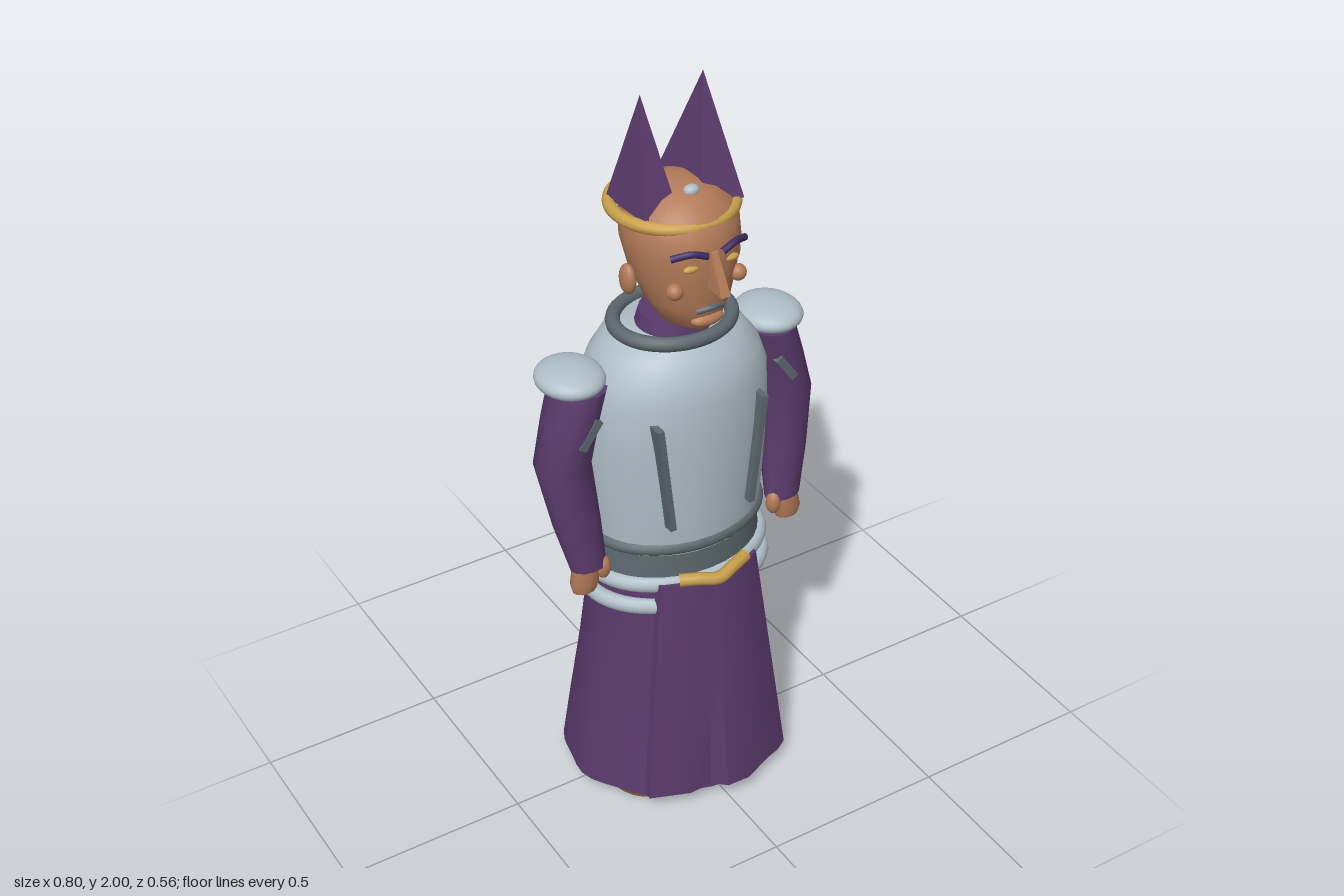
import * as THREE from 'three';
import { toCreasedNormals } from 'three/addons/utils/BufferGeometryUtils.js';
import { ConvexGeometry } from 'three/addons/geometries/ConvexGeometry.js';

const paint = (name, color) => Object.assign(new THREE.MeshStandardMaterial({ color }), { name });
const V = (x, y, z) => new THREE.Vector3(x, y, z);

// One ring at height y; angle 0 faces front, optional ripple scales the radius
function ring(y, rx, front, back, { cx = 0, n = 32, ripple = () => 1 } = {}) {
  const cz = (front + back) / 2, rz = (front - back) / 2;
  return Array.from({ length: n }, (_, i) => {
    const a = (i / n) * Math.PI * 2, k = ripple(a);
    return V(cx + rx * k * Math.sin(a), y, cz + rz * k * Math.cos(a));
  });
}

// Capped skin through rings listed from bottom to top
function loft(rings, crease = 0.8) {
  const n = rings[0].length, pts = rings.flat(), index = [];
  for (let j = 0; j < rings.length - 1; j++) {
    for (let i = 0; i < n; i++) {
      const a = j * n + i, b = j * n + ((i + 1) % n);
      index.push(a, b, b + n, a, b + n, a + n);
    }
  }
  [0, rings.length - 1].forEach((j) => {
    const c = pts.length;
    pts.push(rings[j].reduce((s, p) => s.add(p), V(0, 0, 0)).divideScalar(n));
    for (let i = 0; i < n; i++) {
      const a = j * n + i, b = j * n + ((i + 1) % n);
      index.push(c, ...(j ? [a, b] : [b, a]));
    }
  });
  const g = new THREE.BufferGeometry().setFromPoints(pts);
  g.setIndex(index);
  return toCreasedNormals(g, crease);
}

export function createModel() {
  const group = new THREE.Group();
  const purple = paint('purple cloth', 0x5a3a6c);
  const silver = paint('pale armour', 0xafbec6);
  const iron = paint('dark iron', 0x5c686e);
  const skin = paint('skin', 0xb27a58);
  const gold = paint('gold', 0xc8a04c);
  const brown = paint('boot brown', 0x70502f);
  const violet = paint('brow violet', 0x402a60);

  const add = (name, geometry, material, pos = [0, 0, 0], scale = [1, 1, 1]) => {
    const m = new THREE.Mesh(geometry, material);
    m.name = name;
    m.position.set(...pos);
    m.scale.set(...scale);
    group.add(m);
    return m;
  };
  const ball = (name, mat, pos, radii) => add(name, new THREE.SphereGeometry(1, 24, 16), mat, pos, radii);
  const tube = (name, mat, pts, r) =>
    add(name, new THREE.TubeGeometry(new THREE.CatmullRomCurve3(pts.map((p) => V(...p))), 16, r, 8), mat);
  // Elliptical hoop lying flat: outer half-width, front, back, tube radius and height stretch
  const hoop = (name, mat, y, rx, front, back, t, tall = 1) => {
    const g = new THREE.TorusGeometry(rx - t, t, 12, 48).rotateX(Math.PI / 2);
    return add(name, g, mat, [0, y, (front + back) / 2], [1, tall, (front - back) / 2 / rx]);
  };

  // Robe skirt with a rippled hem
  const ripple = (k) => ({ n: 48, ripple: (a) => 1 + k * Math.cos(a * 9) });
  add('skirt', loft([
    ring(0.035, 0.308, 0.25, -0.282, ripple(0.018)),
    ring(0.2, 0.287, 0.225, -0.26, ripple(0.01)),
    ring(0.4, 0.256, 0.195, -0.235, ripple(0.004)),
    ring(0.58, 0.238, 0.175, -0.21, ripple(0)),
    ring(0.7, 0.235, 0.165, -0.2, ripple(0)),
  ]), purple);

  // Folded front panel
  const hem = [[-0.215, 0.215], [-0.16, 0.236], [-0.11, 0.255], [-0.045, 0.25], [-0.01, 0.283],
    [0.055, 0.285], [0.135, 0.25], [0.18, 0.236], [0.215, 0.215]];
  const panelRing = (y, t) => {
    const row = (d) => hem.map(([x, z]) => {
      const zTop = 0.2 - 0.04 * (x / 0.215) ** 2;
      return V(x * (1 - 0.33 * t), y, z + (zTop - z) * t - d);
    });
    return [...row(0), ...row(0.025).reverse()];
  };
  add('frontPanel', loft([0, 0.25, 0.5, 0.75, 1].map((t) => panelRing(0.05 + 0.65 * t, t)), 0.6), purple);

  // Cuirass, waist and belts
  add('breastplate', loft([
    ring(0.78, 0.232, 0.17, -0.2), ring(0.9, 0.243, 0.178, -0.207), ring(1.1, 0.253, 0.184, -0.212),
    ring(1.22, 0.247, 0.182, -0.21), ring(1.28, 0.225, 0.172, -0.2), ring(1.33, 0.188, 0.145, -0.178),
    ring(1.365, 0.145, 0.115, -0.145),
  ]), silver);
  add('waistBand', loft([ring(0.69, 0.238, 0.17, -0.203), ring(0.79, 0.228, 0.168, -0.198)]), iron);
  hoop('waistRing', iron, 0.8, 0.248, 0.18, -0.208, 0.017);
  hoop('upperHipRing', silver, 0.69, 0.26, 0.185, -0.212, 0.022);
  hoop('lowerHipRing', silver, 0.625, 0.268, 0.19, -0.214, 0.022);
  hoop('collar', iron, 1.37, 0.17, 0.132, -0.165, 0.019);
  add('neck', loft([ring(1.34, 0.105, 0.09, -0.11), ring(1.4, 0.088, 0.08, -0.095)]), purple);
  tube('buckle', gold, [[-0.1, 0.715, 0.175], [-0.05, 0.713, 0.195], [0, 0.705, 0.208],
    [0.05, 0.713, 0.195], [0.1, 0.715, 0.175]], 0.017);

  // Head
  add('head', loft([
    ring(1.405, 0.04, 0.125, 0.0), ring(1.425, 0.075, 0.145, -0.03), ring(1.48, 0.106, 0.158, -0.07),
    ring(1.55, 0.13, 0.165, -0.11), ring(1.62, 0.143, 0.17, -0.136), ring(1.67, 0.141, 0.163, -0.14),
    ring(1.71, 0.124, 0.14, -0.122), ring(1.74, 0.087, 0.1, -0.085), ring(1.757, 0.045, 0.06, -0.045),
    ring(1.762, 0.012, 0.02, -0.01),
  ], 1.1), skin);
  add('nose', new ConvexGeometry([
    V(-0.01, 1.645, 0.15), V(0.01, 1.645, 0.15), V(-0.008, 1.635, 0.172), V(0.008, 1.635, 0.172),
    V(-0.016, 1.545, 0.15), V(0.016, 1.545, 0.15), V(-0.013, 1.54, 0.222), V(0.013, 1.54, 0.222),
  ]), skin);
  tube('mouth', iron, [[-0.036, 1.475, 0.148], [0, 1.482, 0.16], [0.036, 1.475, 0.148]], 0.008);
  ball('chin', skin, [0, 1.443, 0.14], [0.045, 0.018, 0.022]);
  ball('crownGem', silver, [0, 1.752, 0.068], [0.02, 0.014, 0.016]);
  hoop('circlet', gold, 1.69, 0.166, 0.15, -0.183, 0.016);

  // Tall pointed crests, slightly uneven
  const crest = (name, base, apex) =>
    add(name, new ConvexGeometry([...base.map(([x, z]) => V(x, 1.7, z)), V(...apex)]), purple);
  crest('leftCrest', [[0.02, -0.13], [0.148, -0.105], [0.138, 0.083], [0.03, 0.068]], [0.085, 2, -0.018]);
  crest('rightCrest', [[-0.135, -0.095], [-0.03, -0.115], [-0.035, 0.07], [-0.127, 0.067]], [-0.085, 1.98, -0.018]);

  // Mirrored parts
  for (const [side, s] of [['left', 1], ['right', -1]]) {
    tube(side + 'Brow', violet, [[s * 0.02, 1.632, 0.172], [s * 0.06, 1.645, 0.166], [s * 0.102, 1.633, 0.142]], 0.009);
    ball(side + 'Eye', gold, [s * 0.055, 1.6, 0.156], [0.021, 0.009, 0.01]);
    ball(side + 'Cheek', skin, [s * 0.088, 1.54, 0.137], [0.021, 0.021, 0.021]);
    ball(side + 'Ear', skin, [s * 0.146, 1.535, 0.02], [0.018, 0.04, 0.028]);
    ball(side + 'Pauldron', silver, [s * 0.287, 1.285, -0.022], [0.086, 0.038, 0.096]);

    const arm = (y, x, rx, front, back) => ring(y, rx, front, back, { cx: s * x, n: 12 });
    add(side + 'Sleeve', loft([
      arm(0.765, 0.293, 0.05, 0.09, 0.02), arm(0.9, 0.31, 0.065, 0.08, -0.025),
      arm(1.06, 0.327, 0.073, 0.068, -0.07), arm(1.18, 0.298, 0.07, 0.075, -0.088),
      arm(1.27, 0.272, 0.07, 0.075, -0.095),
    ], 1), purple);
    add(side + 'Hand', loft([
      arm(0.695, 0.308, 0.032, 0.08, 0.035), arm(0.72, 0.307, 0.04, 0.085, 0.03),
      arm(0.78, 0.3, 0.036, 0.08, 0.03),
    ], 1), skin);
    ball(side + 'Thumb', skin, [s * 0.258, 0.755, 0.068], [0.02, 0.034, 0.02]);

    const clasp = add(side + 'ArmClasp', new THREE.BoxGeometry(0.022, 0.085, 0.03), iron, [s * 0.285, 1.165, 0.06]);
    clasp.rotation.z = s * 0.62;
    const stripe = add(side + 'ChestStripe', new THREE.BoxGeometry(0.017, 0.31, 0.045), iron, [s * 0.133, 1.033, 0.155]);
    stripe.rotation.z = -s * 0.112;

    add(side + 'Boot', new THREE.CylinderGeometry(0.075, 0.088, 0.1, 24), brown, [s * 0.157, 0.05, 0.05], [1, 1, 1.36]);
  }
  return group;
}
